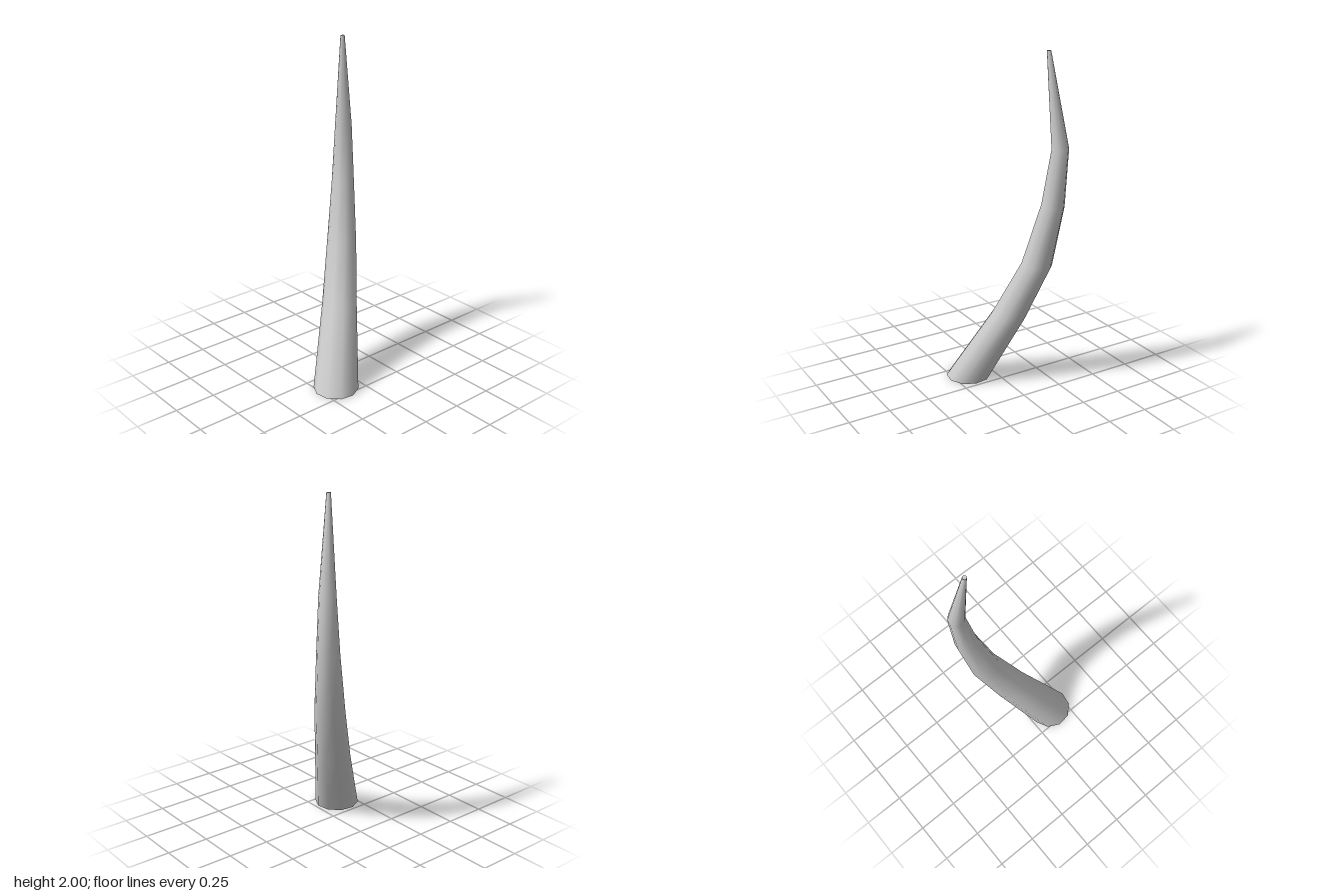
import * as THREE from 'three';

const SIDES = 10;

// Cross-sections from root to tip: [offset along x and z, height, radius, tilt]
const RINGS = [
  [0.149, 0, 0.133, 0],
  [-0.031, 0.43, 0.104, 0.1],
  [-0.147, 0.765, 0.088, 0.14],
  [-0.21, 1.13, 0.066, 0.15],
  [-0.235, 1.46, 0.049, -0.04],
  [-0.184, 2, 0.012, 0],
];

function ringPoints([offset, height, radius, tilt]) {
  return Array.from({ length: SIDES }, (_, j) => {
    const a = Math.PI * (0.15 + (2 * j) / SIDES);
    const dx = Math.cos(a) * radius;
    const dz = Math.sin(a) * radius;
    return [offset + dx, height + tilt * (dx + dz) * Math.SQRT1_2, offset + dz];
  });
}

// Skin between neighbouring cross-sections, open at the root
function hornGeometry() {
  const positions = RINGS.flatMap(ringPoints).flat();
  const index = [];
  for (let i = 0; i < RINGS.length - 1; i++) {
    for (let j = 0; j < SIDES; j++) {
      const k = (j + 1) % SIDES;
      const a = i * SIDES + j, b = i * SIDES + k;
      const c = a + SIDES, d = b + SIDES;
      index.push(a, c, b, b, c, d);
    }
  }
  const geometry = new THREE.BufferGeometry();
  geometry.setAttribute('position', new THREE.Float32BufferAttribute(positions, 3));
  geometry.setIndex(index);
  geometry.computeVertexNormals();
  return geometry;
}

export function createModel() {
  const group = new THREE.Group();
  group.name = 'curvedHorn';
  const material = new THREE.MeshStandardMaterial({ color: 0xcccccc, side: THREE.DoubleSide });

  // Tapering curved body
  const horn = new THREE.Mesh(hornGeometry(), material);
  horn.name = 'horn';
  group.add(horn);

  // Small flat end at the tip
  const [offset, height, radius] = RINGS[RINGS.length - 1];
  const tip = new THREE.Mesh(new THREE.CircleGeometry(radius, SIDES, Math.PI * 0.15), material);
  tip.name = 'tipCap';
  tip.rotation.x = -Math.PI / 2;
  tip.position.set(offset, height, offset);
  group.add(tip);

  return group;
}
